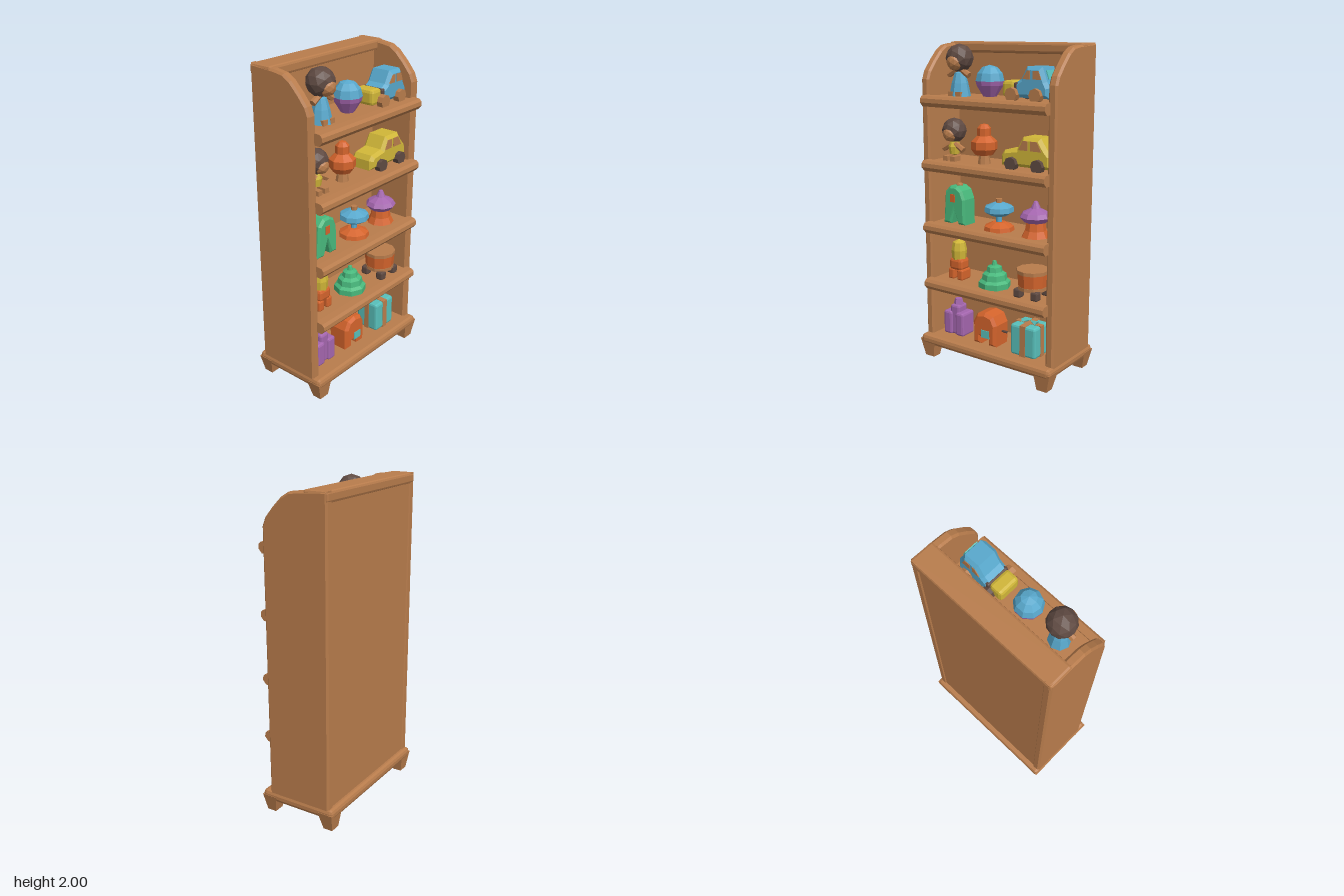
import * as THREE from 'three';
import { RoundedBoxGeometry } from 'three/addons/geometries/RoundedBoxGeometry.js';

const mat = (name, color) => Object.assign(new THREE.MeshStandardMaterial({ color }), { name });
const wood = mat('wood', 0xb87c4c), dark = mat('dark brown', 0x5f4a42), blue = mat('blue', 0x58a8cc),
  purple = mat('purple', 0xa466ae), yellow = mat('yellow', 0xd0b638), orange = mat('orange', 0xd4642c),
  green = mat('green', 0x48b87c), teal = mat('teal', 0x58bfba);

// Faceted mesh
function part(parent, name, geo, material, x = 0, y = 0, z = 0) {
  const g = geo.index ? geo.toNonIndexed() : geo;
  g.computeVertexNormals();
  const m = new THREE.Mesh(g, material);
  m.name = name;
  m.position.set(x, y, z);
  parent.add(m);
  return m;
}
// Chamfered box and plain box
const rbox = (w, h, d, r = 0.012) => new RoundedBoxGeometry(w, h, d, 1, r);
const box = (w, h, d) => new THREE.BoxGeometry(w, h, d);
const cyl = (rt, rb, h, n = 8) => new THREE.CylinderGeometry(rt, rb, h, n);
// Turned shape from [radius, height] pairs, bottom to top
const turned = (pts, n = 9) => new THREE.LatheGeometry(pts.map(p => new THREE.Vector2(...p)), n);
// Extruded outline, centred in depth, with a chamfered edge
function slab(pts, depth, bevel = 0.008) {
  const g = new THREE.ExtrudeGeometry(new THREE.Shape(pts.map(p => new THREE.Vector2(...p))), {
    depth: depth - 2 * bevel, bevelEnabled: bevel > 0, bevelSize: bevel, bevelOffset: -bevel,
    bevelThickness: bevel, bevelSegments: 1
  });
  return g.translate(0, 0, -depth / 2 + bevel);
}
function toy(root, name, x, y, z = 0.09) {
  const g = new THREE.Group();
  g.name = name;
  g.position.set(x, y, z);
  root.add(g);
  return g;
}

function buildCabinet(root) {
  const c = toy(root, 'bookcase', 0, 0, 0);
  // Side panels with a curved upper front
  const side = [[-0.225, 0.1], [0.2, 0.1], [0.2, 1.78], [0.18, 1.83], [0.13, 1.89], [0.07, 1.95], [0.02, 1.98], [-0.05, 1.99], [-0.225, 2]];
  for (const s of [-1, 1])
    part(c, 'sidePanel', slab(side, 0.057, 0.012).rotateY(-Math.PI / 2), wood, s * 0.458);
  part(c, 'backPanel', box(0.9, 1.86, 0.12), wood, 0, 1.03, -0.158);
  part(c, 'topRail', rbox(0.97, 0.065, 0.155, 0.015), wood, 0, 1.9675, -0.15);
  // Shelves with a deep front lip
  for (const y of [1.68, 1.285, 0.89, 0.52]) {
    part(c, 'shelf', box(0.87, 0.045, 0.32), wood, 0, y - 0.0225, 0.05);
    part(c, 'shelfLip', slab([[0.195, -0.06], [0.235, -0.06], [0.257, -0.035], [0.255, -0.01], [0.24, 0.005], [0.195, 0.008]], 0.895, 0)
      .rotateY(-Math.PI / 2), wood, 0, y);
  }
  // Plinth and tapered feet
  part(c, 'plinth', rbox(0.985, 0.065, 0.505, 0.022), wood, 0, 0.113, 0);
  for (const sx of [-1, 1]) for (const sz of [-1, 1]) {
    const g = box(0.115, 0.115, 0.1), p = g.attributes.position;
    for (let i = 0; i < p.count; i++) if (p.getY(i) < 0) {
      p.setX(i, p.getX(i) * 0.6 - sx * 0.005);
      p.setZ(i, p.getZ(i) * 0.6 + sz * 0.005);
    }
    part(c, 'foot', g, wood, sx * 0.438, 0.0575, sz * 0.202);
  }
}

// Doll with round hair, face, arms and dress
function buildDoll(root, x, y, s, dress, pts, armY, headY) {
  const d = toy(root, 'doll', x, y);
  part(d, 'dress', turned(pts, 8), dress);
  part(d, 'hair', new THREE.IcosahedronGeometry(s, 1), dark, 0, headY, 0);
  part(d, 'face', new THREE.IcosahedronGeometry(s * 0.62, 1), wood, 0, headY - s * 0.25, s * 0.5);
  for (const k of [-1, 1]) {
    part(d, 'arm', cyl(0.016, 0.02, 0.075, 6), wood, k * 0.045, armY, 0.01).rotation.z = k * 1.05;
    part(d, 'shoe', box(0.035, 0.03, 0.06), wood, k * 0.028, 0.015, 0.03);
  }
  return d;
}

// Car made of a side outline, side windows and four wheels
function buildCar(root, name, x, y, body, outline, windows, wheels, wheelMat) {
  const c = toy(root, name, x, y);
  part(c, 'body', slab(outline, 0.155, 0.02), body);
  for (const s of [-1, 1]) {
    for (const w of windows) part(c, 'window', slab(w, 0.006, 0), wood, 0, 0, s * 0.0785);
    for (const wx of wheels)
      part(c, 'wheel', cyl(0.04, 0.04, 0.04, 8).rotateX(Math.PI / 2), wheelMat, wx, 0.038, s * 0.083);
  }
  return c;
}

function buildToys(root) {
  // Top shelf
  buildDoll(root, -0.27, 1.68, 0.085, blue, [[0, 0], [0.066, 0], [0.05, 0.08], [0.032, 0.14], [0, 0.15]], 0.145, 0.227);
  const ball = toy(root, 'twoToneBall', -0.045, 1.68);
  part(ball, 'lowerHalf', turned([[0, 0.005], [0.04, 0.01], [0.08, 0.075], [0.086, 0.1]]), purple);
  part(ball, 'upperHalf', turned([[0.086, 0.1], [0.075, 0.145], [0.045, 0.18], [0, 0.193]]), blue);
  const blueCar = buildCar(root, 'blueCar', 0.29, 1.68, blue,
    [[-0.11, 0.02], [0.12, 0.02], [0.12, 0.08], [0.1, 0.115], [0.07, 0.195], [-0.03, 0.195], [-0.07, 0.125], [-0.11, 0.1]],
    [[[-0.05, 0.125], [0, 0.125], [0, 0.172], [-0.02, 0.172]], [[0.018, 0.125], [0.075, 0.125], [0.056, 0.172], [0.018, 0.172]]],
    [0.045], wood);
  part(blueCar, 'rearWindow', box(0.006, 0.05, 0.09), teal, 0.093, 0.152, 0).rotation.z = 0.36;
  const cart = toy(root, 'yellowCart', 0.135, 1.68);
  part(cart, 'cartBody', rbox(0.09, 0.095, 0.14, 0.02), yellow, 0, 0.065, 0);
  part(cart, 'cartEdge', rbox(0.03, 0.05, 0.15, 0.01), dark, 0.055, 0.08, 0);
  for (const s of [-1, 1]) part(cart, 'cartWheel', cyl(0.04, 0.04, 0.04).rotateX(Math.PI / 2), s > 0 ? wood : dark, 0.04, 0.038, s * 0.085);

  // Second shelf
  buildDoll(root, -0.32, 1.285, 0.077, yellow, [[0, 0.03], [0.03, 0.04], [0.038, 0.085], [0.025, 0.12], [0, 0.125]], 0.085, 0.185);
  const spinner = toy(root, 'orangeTop', -0.09, 1.285);
  part(spinner, 'stem', cyl(0.03, 0.04, 0.06), wood, 0, 0.03, 0);
  part(spinner, 'bulb', turned([[0, 0.05], [0.055, 0.055], [0.08, 0.09], [0.08, 0.135], [0.042, 0.17], [0.042, 0.215], [0.022, 0.238], [0, 0.24]], 8), orange);
  buildCar(root, 'yellowCar', 0.255, 1.285, yellow,
    [[-0.17, 0.02], [0.175, 0.02], [0.172, 0.1], [0.14, 0.135], [0.1, 0.195], [-0.02, 0.195], [-0.06, 0.125], [-0.15, 0.11], [-0.17, 0.08]],
    [[[-0.04, 0.12], [0.02, 0.12], [0.02, 0.175], [-0.012, 0.175]], [[0.04, 0.12], [0.115, 0.12], [0.085, 0.175], [0.04, 0.175]]],
    [-0.085, 0.095], dark);

  // Third shelf
  const robot = toy(root, 'greenFigure', -0.288, 0.89);
  part(robot, 'figureBody', slab([[-0.085, 0], [-0.025, 0], [0, 0.1], [0.03, 0], [0.085, 0], [0.082, 0.16], [0.06, 0.215],
    [0.02, 0.24], [-0.03, 0.24], [-0.07, 0.2]], 0.12, 0.014), green);
  part(robot, 'chestPatch', box(0.035, 0.05, 0.008), orange, -0.005, 0.165, 0.061);
  part(robot, 'headKnob', rbox(0.035, 0.03, 0.04), wood, 0.005, 0.24, 0);
  const top = toy(root, 'spinningTop', 0.02, 0.89);
  part(top, 'base', turned([[0, 0], [0.095, 0], [0.09, 0.025], [0.04, 0.05], [0, 0.05]]), orange);
  part(top, 'spindle', cyl(0.018, 0.018, 0.06), blue, 0, 0.07, 0);
  part(top, 'disc', turned([[0, 0.085], [0.05, 0.09], [0.092, 0.115], [0.088, 0.145], [0.03, 0.17], [0, 0.17]]), blue);
  part(top, 'handle', cyl(0.02, 0.02, 0.045), wood, 0, 0.17, 0);
  const mush = toy(root, 'mushroom', 0.285, 0.89);
  part(mush, 'stalk', turned([[0, 0], [0.085, 0], [0.065, 0.04], [0.055, 0.1], [0, 0.1]]), orange);
  part(mush, 'cap', turned([[0, 0.085], [0.07, 0.09], [0.096, 0.12], [0.08, 0.145], [0.03, 0.17], [0.012, 0.21], [0, 0.215]]), purple);

  // Fourth shelf
  const figure = toy(root, 'standingFigure', -0.295, 0.52);
  for (const s of [-1, 1]) part(figure, 'leg', rbox(0.045, 0.07, 0.09, 0.01), orange, s * 0.035, 0.035, 0);
  part(figure, 'torso', rbox(0.1, 0.08, 0.09, 0.02), orange, 0, 0.1, 0);
  part(figure, 'head', turned([[0, 0.13], [0.045, 0.13], [0.05, 0.19], [0.04, 0.24], [0, 0.26]], 8), yellow);
  const cone = toy(root, 'stackingCone', -0.015, 0.52);
  part(cone, 'rings', turned([[0, 0], [0.1, 0], [0.1, 0.035], [0.08, 0.05], [0.075, 0.085], [0.05, 0.1], [0.045, 0.13], [0.018, 0.14], [0.012, 0.165], [0, 0.17]], 8), green);
  const drum = toy(root, 'drum', 0.275, 0.52, 0.1);
  part(drum, 'drumShell', cyl(0.098, 0.09, 0.1, 10), orange, 0, 0.11, 0);
  for (const [y, r] of [[0.16, 0.1], [0.06, 0.093]]) part(drum, 'drumHoop', cyl(r, r, 0.022, 10), wood, 0, y, 0);
  for (let i = 0; i < 4; i++) {
    const a = Math.PI / 4 + i * Math.PI / 2;
    part(drum, 'drumFoot', rbox(0.05, 0.055, 0.05, 0.01), dark, 0.085 * Math.cos(a), 0.028, 0.085 * Math.sin(a));
  }

  // Bottom shelf
  const castle = toy(root, 'castle', -0.305, 0.145);
  for (const s of [-1, 1]) part(castle, 'sideTower', rbox(0.065, 0.155, 0.12, 0.014), purple, s * 0.047, 0.078, 0);
  part(castle, 'mainTower', rbox(0.07, 0.2, 0.09, 0.014), purple, 0, 0.1, 0);
  part(castle, 'roof', cyl(0.024, 0.036, 0.05, 6), purple, 0, 0.21, 0);
  const elephant = toy(root, 'archAnimal', -0.045, 0.145);
  part(elephant, 'animalBody', slab([[-0.088, 0], [-0.03, 0], [-0.03, 0.045], [0.025, 0.045], [0.025, 0], [0.085, 0], [0.088, 0.14],
    [0.06, 0.195], [0, 0.21], [-0.06, 0.195], [-0.09, 0.14]], 0.15, 0.018), orange);
  part(elephant, 'saddlePatch', box(0.06, 0.05, 0.008), teal, 0.012, 0.075, 0.075);
  part(elephant, 'tail', cyl(0.006, 0.008, 0.05, 6).rotateZ(Math.PI / 2), dark, 0.1, 0.092, 0);
  const gift = toy(root, 'giftBox', 0.25, 0.145);
  part(gift, 'boxBody', rbox(0.178, 0.195, 0.16, 0.014), teal, 0, 0.098, 0);
  part(gift, 'ribbon', box(0.04, 0.198, 0.166), wood, 0, 0.099, 0);
  part(gift, 'sideRibbon', box(0.184, 0.198, 0.035), wood, 0, 0.099, 0);
  for (const s of [-1, 1])
    part(gift, 'bow', new THREE.ConeGeometry(0.022, 0.05, 5).rotateZ(s * 1.2), teal, s * 0.025, 0.205, 0);
}

export function createModel() {
  const root = new THREE.Group();
  root.name = 'toyBookcase';
  buildCabinet(root);
  buildToys(root);
  return root;
}
